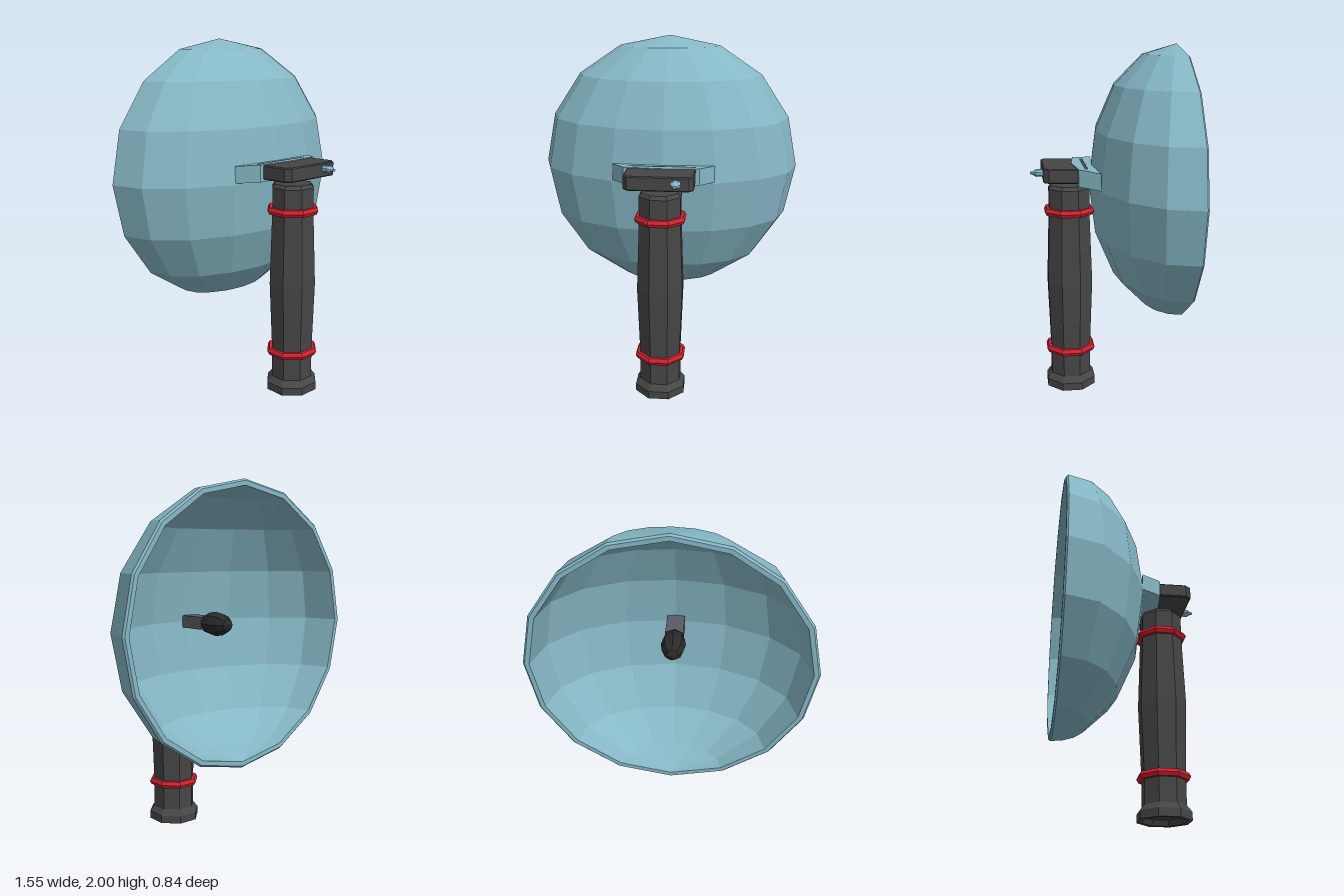
import * as THREE from 'three';

const mat = (color, side = THREE.FrontSide) =>
  new THREE.MeshStandardMaterial({ color, flatShading: true, side });

// Wraps a geometry in a named, positioned mesh
function part(name, geometry, material, x = 0, y = 0, z = 0) {
  const mesh = new THREE.Mesh(geometry, material);
  mesh.name = name;
  mesh.position.set(x, y, z);
  return mesh;
}

// Eight-sided turned shape; radii are measured to the flat sides
function octagonLathe(profile) {
  const k = 1 / Math.cos(Math.PI / 8);
  const points = profile.map(([r, y]) => new THREE.Vector2(r * k, y));
  return new THREE.LatheGeometry(points, 8, Math.PI / 8);
}

// Flat outline in x and z, raised along y
function slab(outline, height, bevel = 0) {
  const shape = new THREE.Shape(outline.map(([x, z]) => new THREE.Vector2(x, -z)));
  const geometry = new THREE.ExtrudeGeometry(shape, {
    depth: height - 2 * bevel, bevelEnabled: bevel > 0,
    bevelSize: bevel, bevelThickness: bevel, bevelOffset: -bevel, bevelSegments: 1,
  });
  return geometry.rotateX(-Math.PI / 2).translate(0, bevel, 0);
}

// Lets a slab rise gently towards the front
function tilt(geometry, slope, z0) {
  const p = geometry.attributes.position;
  for (let i = 0; i < p.count; i++) p.setY(i, p.getY(i) + (p.getZ(i) - z0) * slope);
  geometry.computeVertexNormals();
  return geometry;
}

function createDish(material) {
  const dish = new THREE.Group();
  dish.name = 'dish';
  dish.position.set(0, 1.225, -0.41);
  const half = (r, depth) =>
    new THREE.SphereGeometry(1, 8, 8, 0, Math.PI).scale(r, r, depth);
  dish.add(part('dishOuterShell', half(0.775, 0.495), material));

  // Inner shell faces the hollow side
  const inner = half(0.74, 0.475);
  const index = inner.index.array;
  for (let i = 0; i < index.length; i += 3) {
    [index[i + 1], index[i + 2]] = [index[i + 2], index[i + 1]];
  }
  inner.computeVertexNormals();
  dish.add(part('dishInnerShell', inner, material, 0, 0, -0.01));

  // Rim joins the two shells
  const rim = new THREE.LatheGeometry(
    [[0.775, 0], [0.765, -0.01], [0.74, -0.01]].map(([r, y]) => new THREE.Vector2(r, y)), 16);
  rim.rotateX(Math.PI / 2);
  dish.add(part('dishRim', rim, mat(material.color, THREE.DoubleSide)));
  return dish;
}

export function createModel() {
  const model = new THREE.Group();
  model.name = 'dishMicrophone';
  const blue = mat(0x86b8c6);
  const dark = mat(0x464646);
  const red = mat(0xd0222e, THREE.DoubleSide);
  const black = mat(0x2a2a2a);

  model.add(createDish(blue));

  // Grip with flared foot and a shallow recess underneath
  const grip = octagonLathe([
    [0, 0.03], [0.1, 0.03], [0.115, 0], [0.14, 0], [0.14, 0.045], [0.114, 0.08],
    [0.114, 0.25], [0.128, 0.65], [0.114, 1.07], [0.114, 1.2], [0.1, 1.22], [0, 1.22],
  ]);
  model.add(part('handle', grip, dark, 0, 0, 0.2));

  // Red bands around the grip
  for (const [name, y] of [['lowerBand', 0.235], ['upperBand', 1.07]]) {
    const band = octagonLathe([
      [0.105, -0.02], [0.13, -0.02], [0.14, 0], [0.13, 0.02], [0.105, 0.02], [0.105, -0.02],
    ]);
    model.add(part(name, band, red, 0, y, 0.2));
  }

  // Bracket between dish and control box
  const bracket = slab([
    [-0.29, 0.045], [-0.21, 0.16], [0, 0.185], [0.21, 0.16], [0.29, 0.045], [0, 0.07],
  ], 0.095);
  model.add(part('bracket', tilt(bracket, 0.1, 0.1), blue, 0, 1.238, 0));

  // Control box with clipped front corners
  const box = slab([
    [-0.19, 0.1], [-0.19, 0.32], [-0.165, 0.35], [0.165, 0.35], [0.19, 0.32], [0.19, 0.1],
  ], 0.08, 0.006);
  model.add(part('controlBox', tilt(box, 0.02, 0.25), dark, 0, 1.258, 0));

  // Stepped plug on the front of the box
  const plug = octagonLathe([
    [0, -0.01], [0.027, -0.01], [0.027, 0.038], [0.017, 0.05], [0.01, 0.06], [0.01, 0.068], [0, 0.068],
  ]).rotateX(Math.PI / 2).scale(1, 0.7, 1);
  model.add(part('plug', plug, mat(0x86b4d0), 0.095, 1.305, 0.35));

  // Microphone on its mount inside the dish
  model.add(part('microphoneMount', new THREE.BoxGeometry(0.1, 0.07, 0.18),
    mat(0x5a5a66), 0, 1.225, -0.03));
  const capsule = new THREE.SphereGeometry(1, 8, 6).rotateX(Math.PI / 2).scale(0.068, 0.068, 0.115);
  model.add(part('microphone', capsule, black, 0, 1.225, -0.19));

  return model;
}
